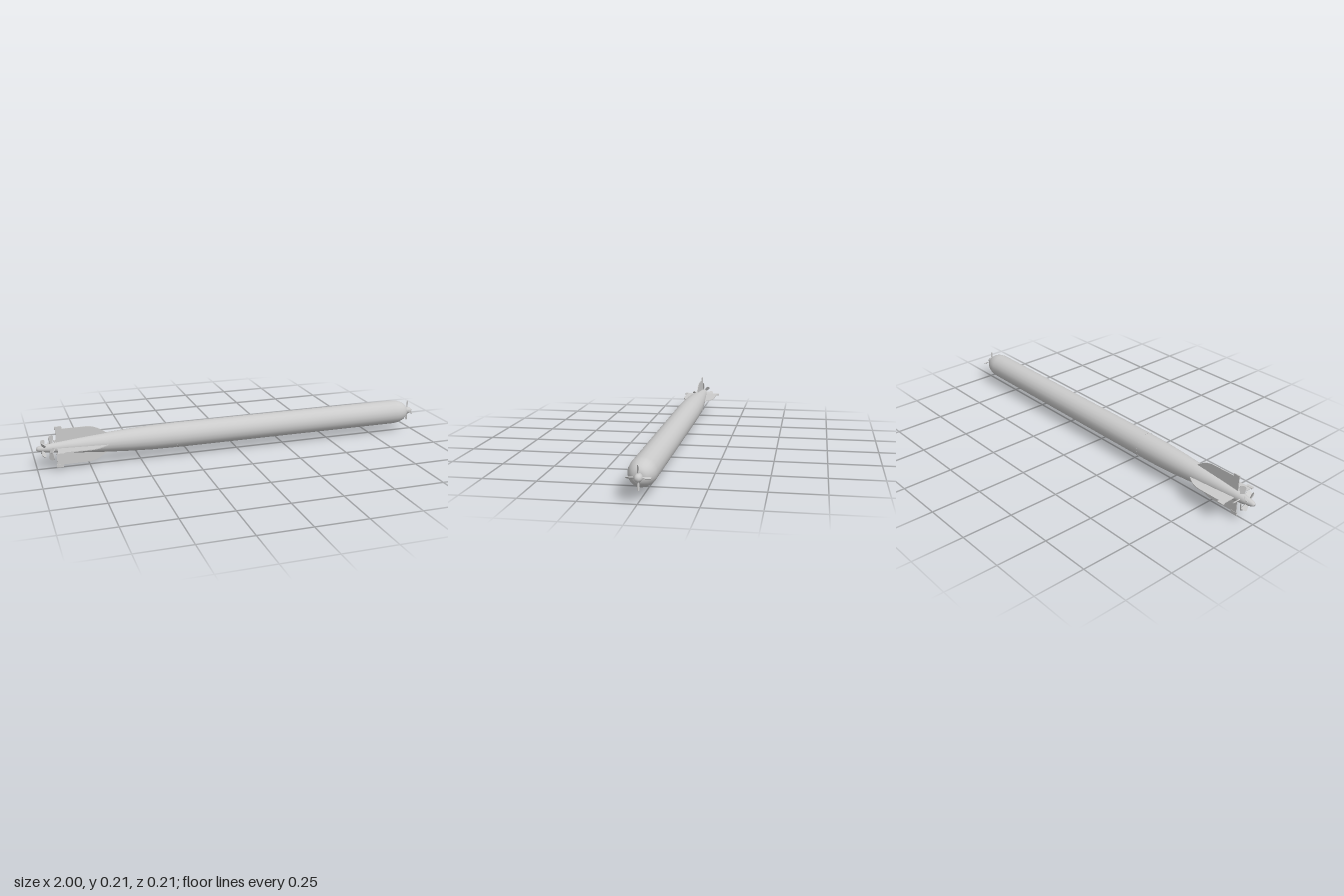
import * as THREE from 'three';

const AXIS_Y = 0.103;
const material = new THREE.MeshStandardMaterial({ color: 0xcccccc, side: THREE.DoubleSide });

function addMesh(parent, name, geometry) {
  const mesh = new THREE.Mesh(geometry, material);
  mesh.name = name;
  parent.add(mesh);
  return mesh;
}

// Round part along x from [x, radius] pairs, listed from tail to nose
function turned(parent, name, profile, sides = 20) {
  const points = profile.map(([x, r]) => new THREE.Vector2(r, x));
  const geometry = new THREE.LatheGeometry(points, sides).rotateZ(-Math.PI / 2);
  return addMesh(parent, name, geometry);
}

// Repeat a part around the long axis
function around(parent, name, count, offset, build) {
  for (let i = 0; i < count; i++) {
    const arm = new THREE.Group();
    arm.name = name;
    arm.rotation.x = offset + (i * 2 * Math.PI) / count;
    build(arm);
    parent.add(arm);
  }
}

// Flat plate centred on its own thickness
function plate(shape, thickness, curveSegments = 8) {
  return new THREE.ExtrudeGeometry(shape, { depth: thickness, bevelEnabled: false, curveSegments })
    .translate(0, 0, -thickness / 2);
}

// Rounded blade reaching out along y, pitched about its own length
function propeller(parent, name, x, hubRadius, tipRadius, width, thickness, pitch, offset) {
  const group = new THREE.Group();
  group.name = name;
  group.position.x = x;
  const w = width / 2;
  const shape = new THREE.Shape();
  const bulge = hubRadius + (tipRadius - hubRadius) * 0.65;
  shape.moveTo(-w * 0.5, hubRadius * 0.7);
  shape.lineTo(w * 0.5, hubRadius * 0.7);
  shape.lineTo(w, bulge);
  shape.quadraticCurveTo(w, tipRadius, 0, tipRadius);
  shape.quadraticCurveTo(-w, tipRadius, -w, bulge);
  shape.closePath();
  around(group, 'blade', 4, offset, (arm) => {
    addMesh(arm, 'bladePlate', plate(shape, thickness, 5)).rotation.y = pitch;
  });
  parent.add(group);
}

export function createModel() {
  const model = new THREE.Group();
  model.name = 'torpedo';
  const body = new THREE.Group();
  body.name = 'body';
  body.position.y = AXIS_Y;
  model.add(body);

  // Straight hull with a blunt rounded nose
  const hull = [[-0.325, 0.062], [0.88, 0.062]];
  for (let i = 1; i <= 8; i++) {
    const a = (i / 8) * Math.PI / 2;
    hull.push([0.88 + 0.085 * Math.sin(a), 0.014 + 0.048 * Math.cos(a)]);
  }
  hull.push([0.965, 0]);
  turned(body, 'hull', hull);

  // Tapered tail section
  turned(body, 'tailCone', [
    [-0.945, 0.021], [-0.9, 0.026], [-0.8, 0.036], [-0.67, 0.047],
    [-0.55, 0.055], [-0.44, 0.06], [-0.325, 0.0615],
  ]);

  // Propeller hub and rounded end cap
  turned(body, 'tailHub', [
    [-1, 0], [-0.998, 0.008], [-0.988, 0.013], [-0.97, 0.017], [-0.945, 0.021],
  ]);

  // Nose spinner with a flat tip
  turned(body, 'noseHub', [
    [0.96, 0.014], [0.967, 0.018], [0.982, 0.018], [0.993, 0.014], [1, 0.008], [1, 0],
  ], 16);

  // Four fins, each with a thicker control tab on its trailing edge
  const fin = new THREE.Shape();
  fin.moveTo(-0.905, 0.018);
  fin.lineTo(-0.905, 0.09);
  fin.lineTo(-0.76, 0.09);
  fin.bezierCurveTo(-0.72, 0.09, -0.69, 0.07, -0.66, 0.046);
  fin.lineTo(-0.68, 0.035);
  fin.closePath();
  const finGeometry = plate(fin, 0.004);
  const tabGeometry = new THREE.BoxGeometry(0.033, 0.016, 0.006).translate(-0.8915, 0.095, 0);
  around(body, 'tailFin', 4, 0, (arm) => {
    addMesh(arm, 'finPlate', finGeometry);
    addMesh(arm, 'controlTab', tabGeometry);
  });

  // Contra-rotating tail propellers and the small nose propeller
  propeller(body, 'frontTailPropeller', -0.928, 0.022, 0.063, 0.03, 0.004, 0.75, 0);
  propeller(body, 'rearTailPropeller', -0.966, 0.016, 0.045, 0.026, 0.004, -0.75, Math.PI / 4);
  propeller(body, 'nosePropeller', 0.976, 0.016, 0.054, 0.01, 0.004, 0.8, 0);

  return model;
}
